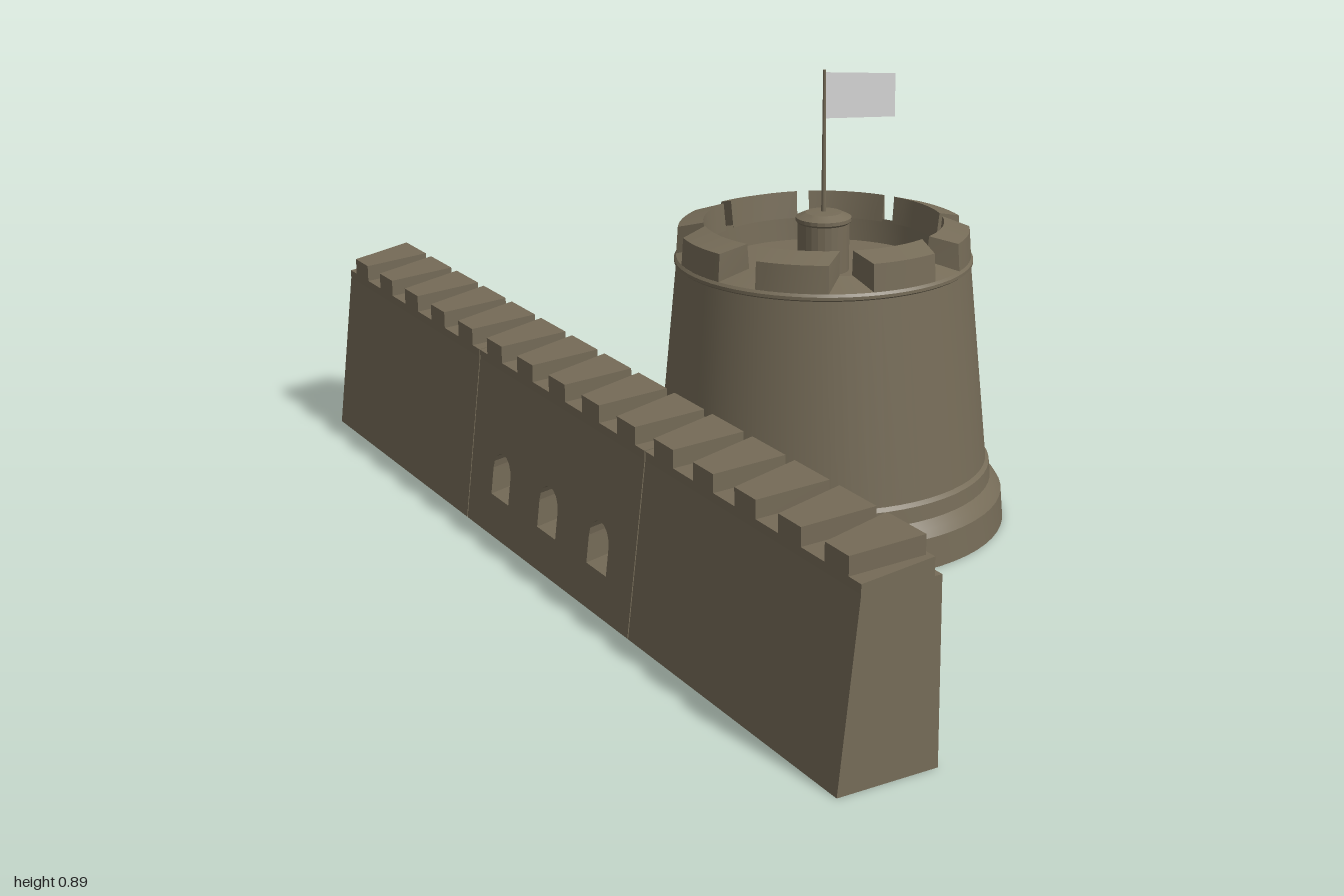
import * as THREE from 'three';
import { toCreasedNormals } from 'three/addons/utils/BufferGeometryUtils.js';

const material = (name, color) => {
  const m = new THREE.MeshStandardMaterial({ color, side: THREE.DoubleSide });
  m.name = name;
  return m;
};

// Moves every vertex of a geometry by a rule (x, y, z) => [x, y, z]
function remap(geometry, rule) {
  const p = geometry.attributes.position;
  for (let i = 0; i < p.count; i++) p.setXYZ(i, ...rule(p.getX(i), p.getY(i), p.getZ(i)));
  geometry.computeVertexNormals();
  return geometry;
}

function add(parent, name, geometry, mat, x = 0, y = 0, z = 0) {
  const mesh = new THREE.Mesh(geometry, mat);
  mesh.name = name;
  mesh.position.set(x, y, z);
  parent.add(mesh);
  return mesh;
}

const polygon = (pts) => new THREE.Shape(pts.map(([x, y]) => new THREE.Vector2(x, y)));
const lathe = (pts, n = 64) =>
  toCreasedNormals(new THREE.LatheGeometry(pts.map(([x, y]) => new THREE.Vector2(x, y)), n), 0.25);
const lerp = THREE.MathUtils.lerp;

// Round-headed opening outline, counter-clockwise
function archPoints(u, bottom, width, height) {
  const r = width / 2, spring = bottom + height - r;
  const pts = [[u - r, bottom], [u + r, bottom]];
  for (let i = 0; i <= 8; i++) {
    const a = (i / 8) * Math.PI;
    pts.push([u + r * Math.cos(a), spring + r * Math.sin(a)]);
  }
  return pts;
}

const WALL_H = 0.325, INNER_X = -0.302;
const outerX = (y) => -0.49 + 0.04 * (y / WALL_H);
const innerX = () => INNER_X;
const outerArch = (z) => archPoints(z, 0.08, 0.075, 0.09);
const innerArch = (z) => archPoints(z, 0.12, 0.05, 0.075);

// Long wall face with optional arched holes
function wallFace(z0, z1, xAt, sign, holes) {
  const shape = polygon([[z0, 0], [z1, 0], [z1, WALL_H], [z0, WALL_H]]);
  holes.forEach((h) => shape.holes.push(new THREE.Path(h.map(([u, v]) => new THREE.Vector2(u, v)))));
  return remap(new THREE.ShapeGeometry(shape), (u, v) => [xAt(v), v, sign * u]);
}

// Splayed tunnel joining the outer and inner arch of a window
function windowTunnel(z) {
  const a = outerArch(z), b = innerArch(z), pos = [];
  a.forEach((p, i) => {
    const j = (i + 1) % a.length;
    const A = [outerX(p[1]), p[1], p[0]], B = [outerX(a[j][1]), a[j][1], a[j][0]];
    const C = [INNER_X, b[j][1], b[j][0]], D = [INNER_X, b[i][1], b[i][0]];
    pos.push(...A, ...B, ...C, ...A, ...C, ...D);
  });
  const g = new THREE.BufferGeometry();
  g.setAttribute('position', new THREE.Float32BufferAttribute(pos, 3));
  g.computeVertexNormals();
  return g;
}

// Thin raised surround on the inner side of a window
function windowFrame(z) {
  const shape = polygon(archPoints(z, 0.112, 0.066, 0.091));
  shape.holes.push(new THREE.Path(innerArch(z).map(([u, v]) => new THREE.Vector2(u, v))));
  const g = new THREE.ExtrudeGeometry(shape, { depth: 0.005, bevelEnabled: false }).toNonIndexed();
  return remap(g, (u, v, w) => [INNER_X + w, v, 2 * z - u]);
}

function buildWall(stone) {
  const wall = new THREE.Group();
  wall.name = 'curtainWall';
  const sections = [[-1, -0.336, []], [-0.333, 0.333, [-0.2, 0, 0.2]], [0.336, 1, []]];
  for (const [z0, z1, windows] of sections) {
    const section = new THREE.Group();
    section.name = 'wallSection';
    wall.add(section);
    add(section, 'outerFace', wallFace(z0, z1, outerX, 1, windows.map(outerArch)), stone);
    add(section, 'innerFace', wallFace(-z1, -z0, innerX, -1, windows.map(innerArch)), stone);
    const end = [[outerX(0), 0], [INNER_X, 0], [INNER_X, WALL_H], [-0.45, WALL_H]];
    for (const z of [z0, z1]) {
      const g = new THREE.ShapeGeometry(polygon(end));
      if (z === z0) g.rotateY(Math.PI).scale(-1, 1, 1);
      add(section, 'endFace', remap(g, (x, y) => [x, y, 0]), stone, 0, 0, z);
    }
    const walk = new THREE.PlaneGeometry(INNER_X + 0.45, z1 - z0).rotateX(-Math.PI / 2);
    add(section, 'wallTop', walk, stone, (INNER_X - 0.45) / 2, WALL_H, (z0 + z1) / 2);
    // Sloping course under the battlements
    const course = polygon([[-0.45, WALL_H], [-0.316, WALL_H], [-0.316, 0.357], [-0.45, 0.342]]);
    add(section, 'parapetCourse',
      new THREE.ExtrudeGeometry(course, { depth: z1 - z0, bevelEnabled: false }), stone, 0, 0, z0);
    for (const z of windows) {
      add(section, 'windowTunnel', windowTunnel(z), stone);
      add(section, 'windowFrame', windowFrame(z), stone);
    }
  }
  // Merlons taper towards the outer side
  const merlon = remap(new THREE.BoxGeometry(1, 1, 1), (u, v, w) => {
    const t = w + 0.5, top = v > 0;
    const y = top ? lerp(0.39, 0.375, t) : lerp(0.352, 0.338, t);
    return [lerp(-0.323, -0.45, t), y, u * lerp(0.105, 0.066, t)];
  });
  for (let i = 0; i < 15; i++) add(wall, 'wallMerlon', merlon, stone, 0, 0, (i - 7) * (2 / 15));
  return wall;
}

function buildTower(stone, cloth) {
  const tower = new THREE.Group();
  tower.name = 'tower';
  tower.position.x = 0.13;
  // Battered drum, string course, parapet and sunken roof
  add(tower, 'drum', lathe([
    [0.36, 0], [0.355, 0.06], [0.346, 0.074], [0.333, 0.088], [0.33, 0.118], [0.323, 0.125],
    [0.285, 0.518], [0.289, 0.521], [0.289, 0.527], [0.285, 0.532],
    [0.228, 0.55], [0.225, 0.5], [0, 0.5],
  ]), stone);
  // Ring of merlons, narrower on the outside
  const merlon = toCreasedNormals(remap(new THREE.BoxGeometry(1, 1, 1, 6, 1, 1), (u, v, w) => {
    const t = w + 0.5, top = v > 0;
    const a = 2 * u * THREE.MathUtils.degToRad(lerp(19.5, 14, t));
    const r = lerp(top ? 0.232 : 0.226, top ? 0.281 : 0.285, t);
    const y = top ? lerp(0.599, 0.585, t) : lerp(0.545, 0.528, t);
    return [r * Math.sin(a), y, r * Math.cos(a)];
  }), 0.4);
  for (let i = 0; i < 8; i++) add(tower, 'towerMerlon', merlon, stone).rotation.y = (i * Math.PI) / 4;
  // Flag pedestal, pole and flag
  add(tower, 'pedestal', lathe([
    [0.05, 0.5], [0.05, 0.594], [0.054, 0.598], [0.054, 0.605], [0.035, 0.614], [0, 0.616],
  ], 24), stone);
  add(tower, 'flagPole', new THREE.CylinderGeometry(0.003, 0.005, 0.28, 10), stone, 0, 0.751, 0);
  add(tower, 'flag', new THREE.ShapeGeometry(
    polygon([[0.003, 0.797], [0.163, 0.783], [0.163, 0.868], [0.003, 0.886]])), cloth);
  return tower;
}

export function createModel() {
  const model = new THREE.Group();
  model.name = 'castle';
  const stone = material('stone', 0x766c58);
  const cloth = material('flagCloth', 0xd4d4d4);
  model.add(buildWall(stone), buildTower(stone, cloth));
  return model;
}
